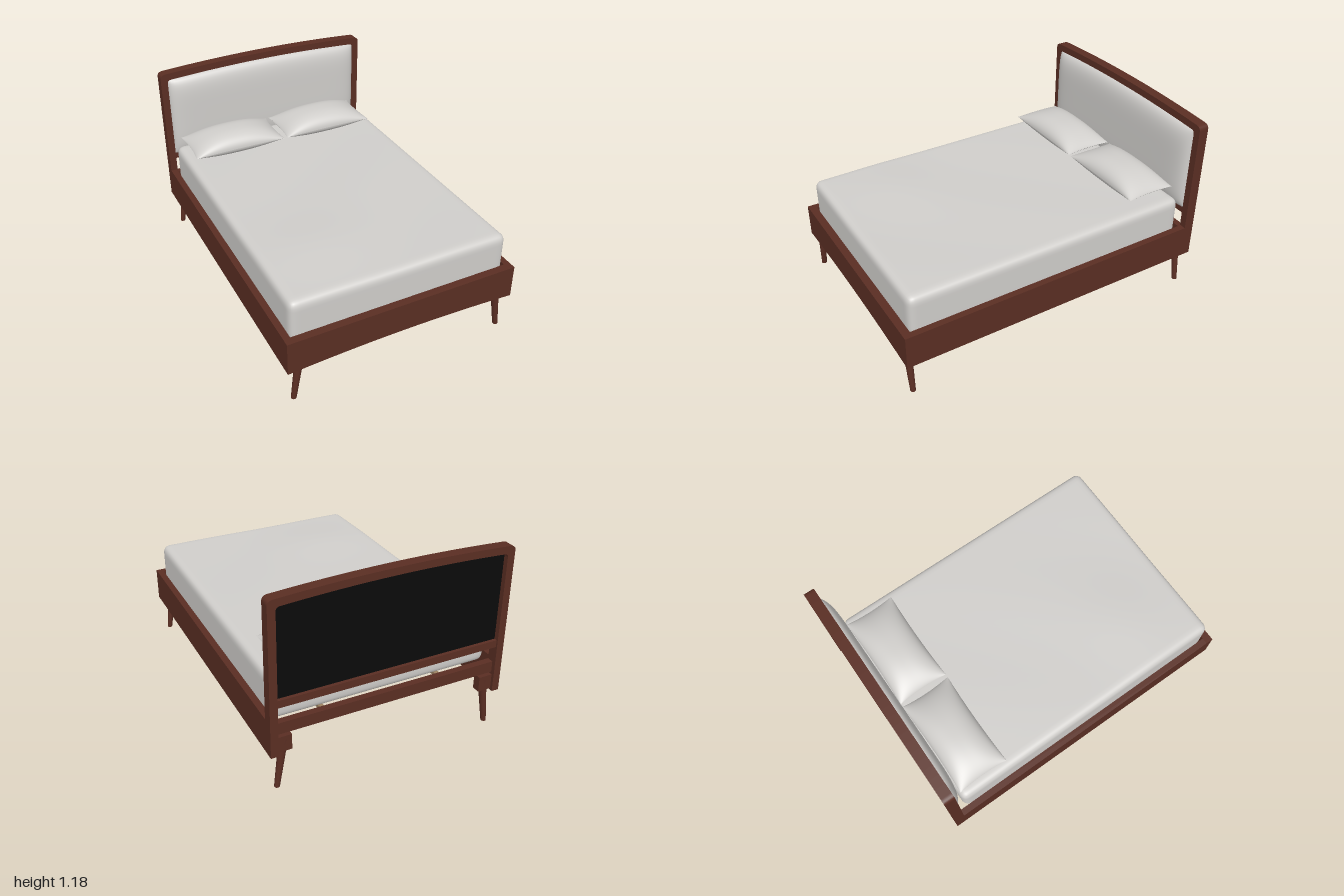
import * as THREE from 'three';
import { mergeVertices } from 'three/addons/utils/BufferGeometryUtils.js';

const mat = (name, color) => Object.assign(new THREE.MeshStandardMaterial({ color }), { name });

// Moves every vertex of a geometry by a rule and recomputes smooth normals
function deform(geo, rule) {
  geo.deleteAttribute('uv');
  geo.deleteAttribute('normal');
  const g = mergeVertices(geo, 1e-5);
  const p = g.attributes.position;
  const v = new THREE.Vector3();
  for (let i = 0; i < p.count; i++) {
    v.fromBufferAttribute(p, i);
    rule(v);
    p.setXYZ(i, v.x, v.y, v.z);
  }
  g.computeVertexNormals();
  return g;
}

// Crowds grid lines towards the edges (-1..1 to -1..1)
const ease = s => Math.sin(s * Math.PI / 2);

// Puffed sheet over u,v in -1..1; place(u, v) gives the position
function puff(side, place, nx = 36, ny = 28) {
  const g = new THREE.PlaneGeometry(2, 2, nx, ny);
  if (side < 0) g.rotateY(Math.PI);
  return deform(g, v => v.copy(place(ease(v.x), ease(v.y))));
}

const swell = (t, p, q) => Math.pow(Math.max(0, 1 - Math.pow(Math.abs(t), p)), q);

// Mattress block: rounded edges and a gently uneven top
function mattressGeometry(w, h, d, r) {
  const half = new THREE.Vector3(w / 2, h / 2, d / 2);
  const inner = half.clone().subScalar(r);
  const low = inner.clone().negate();
  const c = new THREE.Vector3();
  return deform(new THREE.BoxGeometry(2, 2, 2, 36, 16, 48), v => {
    v.set(ease(v.x), ease(v.y), ease(v.z)).multiply(half);
    c.copy(v).clamp(low, inner);
    v.sub(c);
    if (v.lengthSq() > 0) v.setLength(Math.min(r, Math.max(Math.abs(v.x), Math.abs(v.y), Math.abs(v.z))));
    v.add(c);
    if (v.y > 0) {
      const lift = 0.012 * Math.exp(-((v.z - 0.5) ** 2) / 0.06 - ((v.x + 0.35) ** 2) / 0.1);
      const ripple = 0.0025 * Math.sin(5 * v.x + 6 * v.z) * swell(v.x / half.x, 2, 1);
      v.y += (lift + ripple) * v.y / half.y;
    }
  });
}

function extrude(shape, depth, z) {
  const g = new THREE.ExtrudeGeometry(shape, { depth, bevelEnabled: false, curveSegments: 24 });
  return g.translate(0, 0, z);
}

export function createModel() {
  const group = new THREE.Group();
  const wood = mat('darkWood', 0x5a2e23);
  const linen = mat('linen', 0xd0cecb);
  const black = mat('backingBlack', 0x0a0a0a);
  const slatWood = mat('slatWood', 0x9c8262);

  const add = (name, geo, material, x = 0, y = 0, z = 0) => {
    const m = new THREE.Mesh(geo, material);
    m.name = name;
    m.position.set(x, y, z);
    group.add(m);
    return m;
  };
  // Box from its lower and upper corners
  const box = (name, material, x0, x1, y0, y1, z0, z1) =>
    add(name, new THREE.BoxGeometry(x1 - x0, y1 - y0, z1 - z0), material,
      (x0 + x1) / 2, (y0 + y1) / 2, (z0 + z1) / 2);

  // Headboard frame: two posts joined by an arched top
  const W = 0.725, I = 0.68;
  const frame = new THREE.Shape();
  frame.moveTo(-W, 0.23);
  frame.lineTo(-W, 1.125);
  frame.quadraticCurveTo(-W, 1.155, -W + 0.035, 1.157);
  frame.quadraticCurveTo(0, 1.203, W - 0.035, 1.157);
  frame.quadraticCurveTo(W, 1.155, W, 1.125);
  frame.lineTo(W, 0.23);
  frame.lineTo(I, 0.23);
  frame.lineTo(I, 1.09);
  frame.quadraticCurveTo(I, 1.112, I - 0.025, 1.114);
  frame.quadraticCurveTo(0, 1.158, -I + 0.025, 1.114);
  frame.quadraticCurveTo(-I, 1.112, -I, 1.09);
  frame.lineTo(-I, 0.23);
  add('headboardFrame', extrude(frame, 0.065, -1), wood);

  // Headboard bars
  box('headboardLowerBar', wood, -I, I, 0.525, 0.57, -0.99, -0.945);
  box('headCrossRail', wood, -I, I, 0.35, 0.42, -0.975, -0.935);

  // Black backing
  const back = new THREE.Shape();
  back.moveTo(-I, 0.57);
  back.lineTo(I, 0.57);
  back.lineTo(I, 1.11);
  back.quadraticCurveTo(0, 1.165, -I, 1.11);
  add('headboardBacking', extrude(back, 0.02, -0.97), black);

  // Upholstered headboard panel
  add('headboardCushion', puff(1, (u, v) => {
    const top = 1.137 - 0.025 * u * u;
    return new THREE.Vector3(u * I, 0.565 + (top - 0.565) * (v + 1) / 2,
      -0.947 + 0.057 * swell(u, 14, 0.5) * swell(v, 5, 0.5));
  }), linen);

  // Foot rail with arched lower edge
  const foot = new THREE.Shape();
  foot.moveTo(-W, 0.23);
  foot.quadraticCurveTo(0, 0.28, W, 0.23);
  foot.lineTo(W, 0.44);
  foot.lineTo(-W, 0.44);
  add('footRail', extrude(foot, 0.048, 0.952), wood);

  // Side rails, splayed legs and their corner blocks
  for (const s of [-1, 1]) {
    const side = s < 0 ? 'right' : 'left';
    box(side + 'SideRail', wood, ...(s < 0 ? [-W, -0.685] : [0.685, W]), 0.23, 0.44, -0.935, 0.952);
    for (const [end, z, bz] of [['Front', 0.957, 0.93], ['Back', -0.957, -0.957]]) {
      const leg = deform(new THREE.CylinderGeometry(0.026, 0.016, 0.31, 24, 1, true),
        v => { v.x -= s * 0.14 * (v.y + 0.155); });
      add(side + end + 'Leg', leg, wood, s * 0.677, 0.155, z);
      const cap = new THREE.CircleGeometry(0.016, 24).rotateX(Math.PI / 2);
      add(side + end + 'LegFoot', cap, wood, s * 0.677, 0.0005, z);
      const x = s * 0.64;
      box(side + end + 'LegBlock', wood, x - 0.045, x + 0.045, 0.24, 0.335, bz - 0.025, bz + 0.025);
    }
  }

  // Slat grid under the mattress
  for (let i = 0; i < 5; i++) {
    const z = -0.61 + i * 0.345;
    box('crossSlat', slatWood, -0.69, 0.69, 0.355, 0.377, z - 0.014, z + 0.014);
  }
  for (const x of [-0.37, 0.37])
    box('longSlat', slatWood, x - 0.014, x + 0.014, 0.35, 0.372, -0.965, 0.955);

  // Mattress
  add('mattress', mattressGeometry(1.366, 0.27, 1.845, 0.045), linen, 0, 0.515, 0.027);

  // Pillows: two puffed halves meeting at a seam, with pinched corners
  for (const [name, x] of [['rightPillow', -0.335], ['leftPillow', 0.303]]) {
    for (const s of [1, -1]) {
      const geo = puff(s, (u, v) => new THREE.Vector3(
        u * 0.309 * (1 - 0.035 * (1 - v * v)),
        v * 0.161 * (1 - 0.05 * (1 - u * u)),
        s * (s > 0 ? 0.09 : 0.062) * swell(u, 2.4, 0.75) * swell(v, 2.6, 0.5)));
      geo.rotateX(-Math.PI / 2);
      add(name + (s > 0 ? 'Top' : 'Bottom'), geo, linen, x, 0.707, -0.723);
    }
  }
  return group;
}
